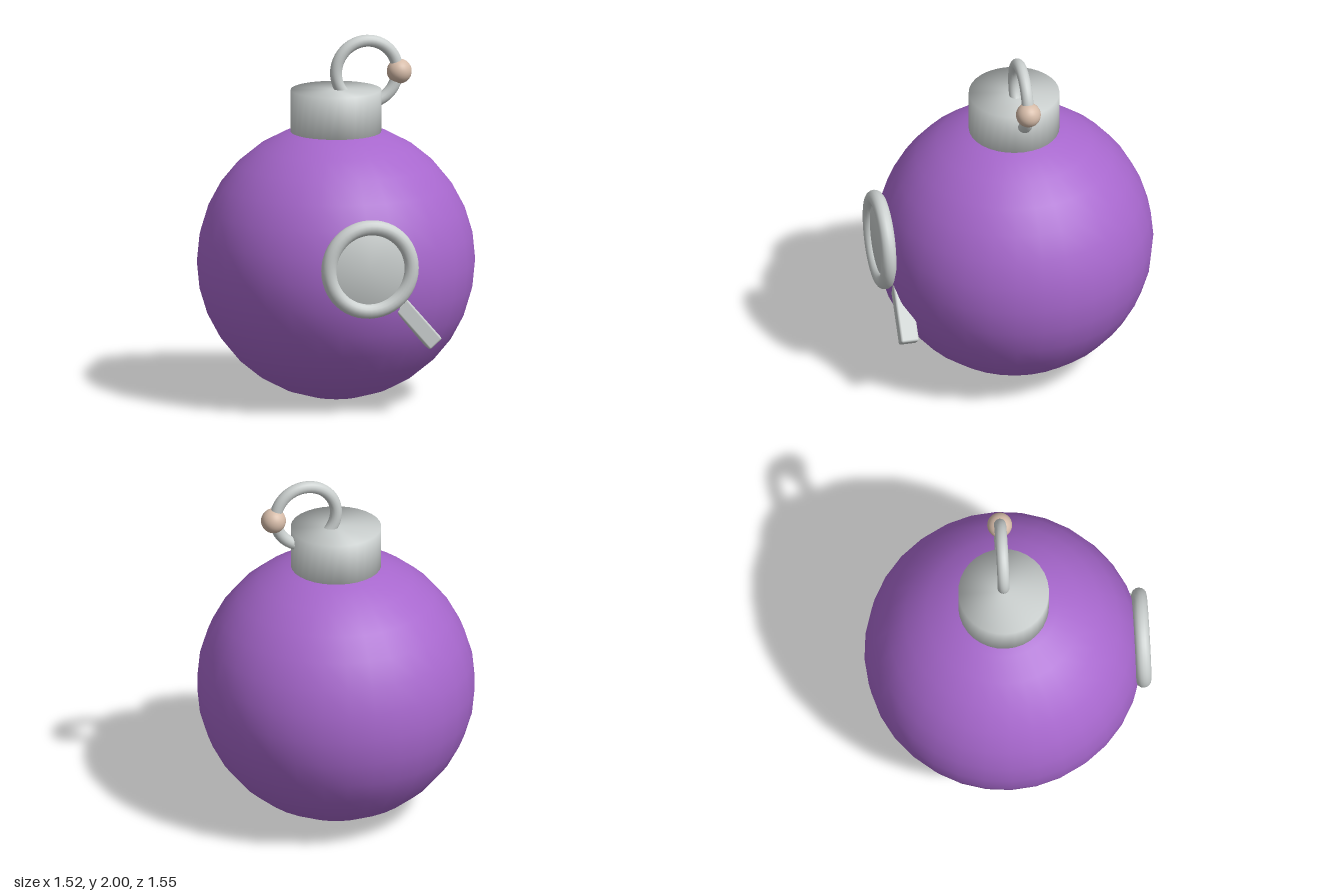
import * as THREE from 'three';
import { mergeVertices } from 'three/addons/utils/BufferGeometryUtils.js';
import { RoundedBoxGeometry } from 'three/addons/geometries/RoundedBoxGeometry.js';

const material = (name, color) => {
  const m = new THREE.MeshStandardMaterial({ color });
  m.name = name;
  return m;
};

// Cylinder whose normals blend softly across the rim
function softCylinder(radius, height, segments) {
  const g = new THREE.CylinderGeometry(radius, radius, height, segments);
  g.deleteAttribute('normal');
  g.deleteAttribute('uv');
  const merged = mergeVertices(g);
  merged.computeVertexNormals();
  return merged;
}

export function createModel() {
  const purple = material('purple glass', 0xa767cd);
  const silver = material('silver metal', 0xcbd0cf);
  const beige = material('beige bead', 0xd6bca9);

  const model = new THREE.Group();
  model.name = 'ornament';
  const Z = -0.018; // depth of the bauble axis

  const add = (name, geometry, mat, x, y, z) => {
    const mesh = new THREE.Mesh(geometry, mat);
    mesh.name = name;
    mesh.position.set(x, y, z);
    model.add(mesh);
    return mesh;
  };

  // Bauble with its cap, hanging ring and bead
  add('bauble', new THREE.SphereGeometry(0.758, 32, 16), purple, 0, 0.76, Z);
  add('cap', softCylinder(0.247, 0.265, 32), silver, 0, 1.5725, Z);
  add('hangingRing', new THREE.TorusGeometry(0.172, 0.033, 16, 48), silver, 0.172, 1.795, Z);
  add('bead', new THREE.SphereGeometry(0.068, 32, 16), beige, 0.355, 1.79, Z);

  // Magnifying glass on the front
  const lensY = 0.85;
  add('lensRim', new THREE.TorusGeometry(0.231, 0.042, 16, 48), silver, 0, lensY, 0.732);
  add('lens', softCylinder(0.225, 0.05, 32), silver, 0, lensY, 0.718).rotation.x = Math.PI / 2;

  // Handle runs outward from the lens centre, down to the model's left
  const angle = -0.858, start = 0.24, end = 0.582, middle = (start + end) / 2;
  const handle = add('handle', new RoundedBoxGeometry(end - start, 0.092, 0.1, 3, 0.012), silver,
    Math.cos(angle) * middle, lensY + Math.sin(angle) * middle, 0.653);
  handle.rotation.z = angle;

  return model;
}
